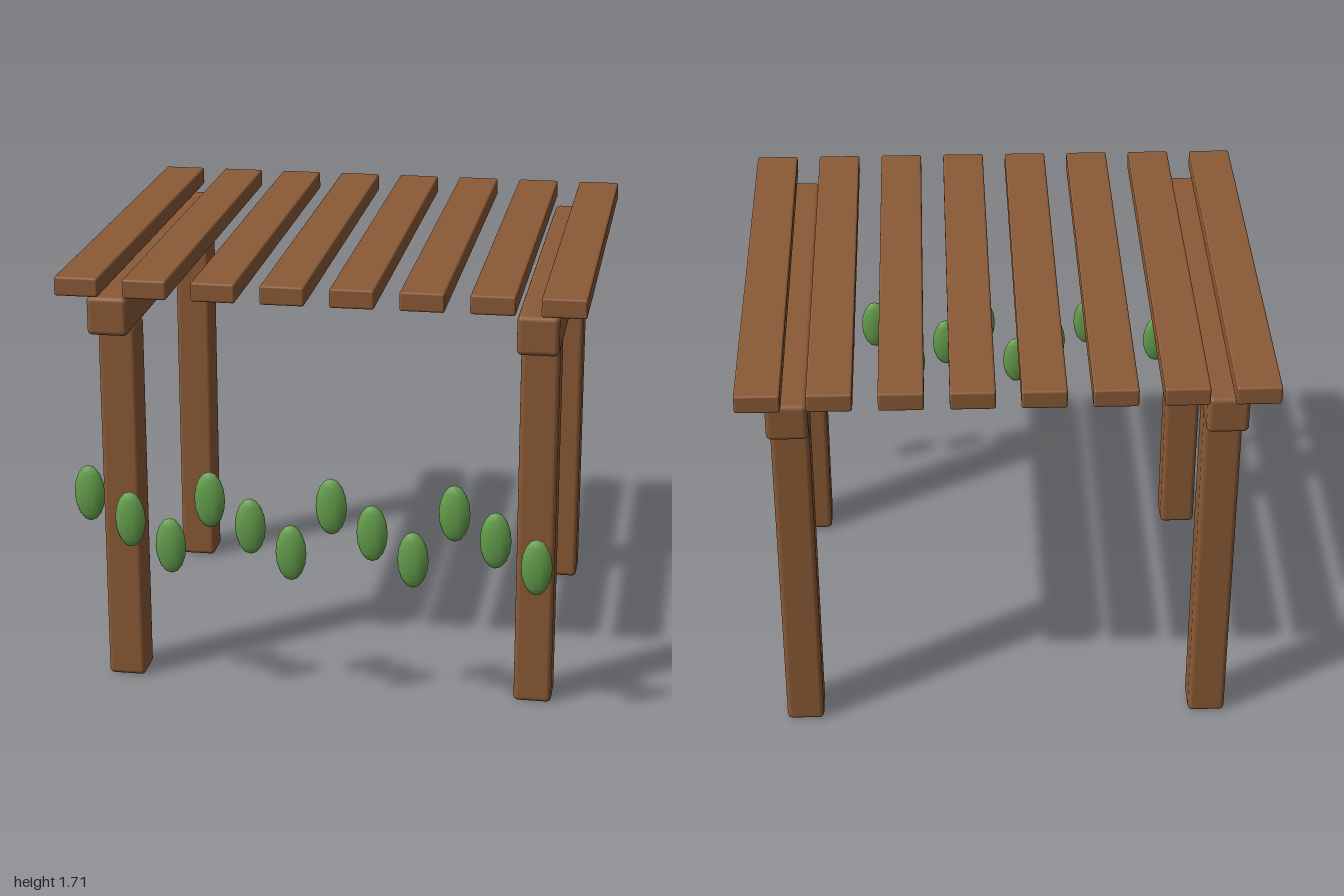
import * as THREE from 'three';
import { RoundedBoxGeometry } from 'three/addons/geometries/RoundedBoxGeometry.js';

export function createModel() {
  const wood = new THREE.MeshStandardMaterial({ color: 0x8b5a36 });
  wood.name = 'brown wood';
  const leafGreen = new THREE.MeshStandardMaterial({ color: 0x659f4c });
  leafGreen.name = 'leaf green';

  const model = new THREE.Group();
  model.name = 'pergola';

  const add = (name, geometry, material, x, y, z) => {
    const mesh = new THREE.Mesh(geometry, material);
    mesh.name = name;
    mesh.position.set(x, y, z);
    model.add(mesh);
  };

  // Posts and the side beams resting on them
  const centreZ = -0.018;
  const post = new RoundedBoxGeometry(0.148, 1.47, 0.148, 3, 0.02);
  const beam = new RoundedBoxGeometry(0.158, 0.152, 1.73, 3, 0.02);
  for (const side of [-1, 1]) {
    const sideName = side > 0 ? 'left' : 'right';
    for (const end of [-1, 1]) {
      add(`${sideName}${end > 0 ? 'Front' : 'Back'}Post`, post, wood, side * 0.817, 0.735, centreZ + end * 0.655);
    }
    add(`${sideName}Beam`, beam, wood, side * 0.817, 1.541, centreZ);
  }

  // Roof slats
  const slat = new RoundedBoxGeometry(0.168, 0.074, 1.858, 3, 0.009);
  for (let i = 0; i < 8; i++) {
    add(`roofSlat${i + 1}`, slat, wood, -0.916 + i * (1.832 / 7), 1.671, centreZ - 0.003);
  }

  // Row of flat oval leaves, stepping down in threes
  const leaf = new THREE.SphereGeometry(1, 10, 8);
  leaf.scale(0.06, 0.113, 0.027);
  for (let i = 0; i < 12; i++) {
    add(`leaf${i + 1}`, leaf, leafGreen, -0.885 + i * 0.1568, 0.857 - (i % 3) * 0.099, 0.922);
  }

  return model;
}
